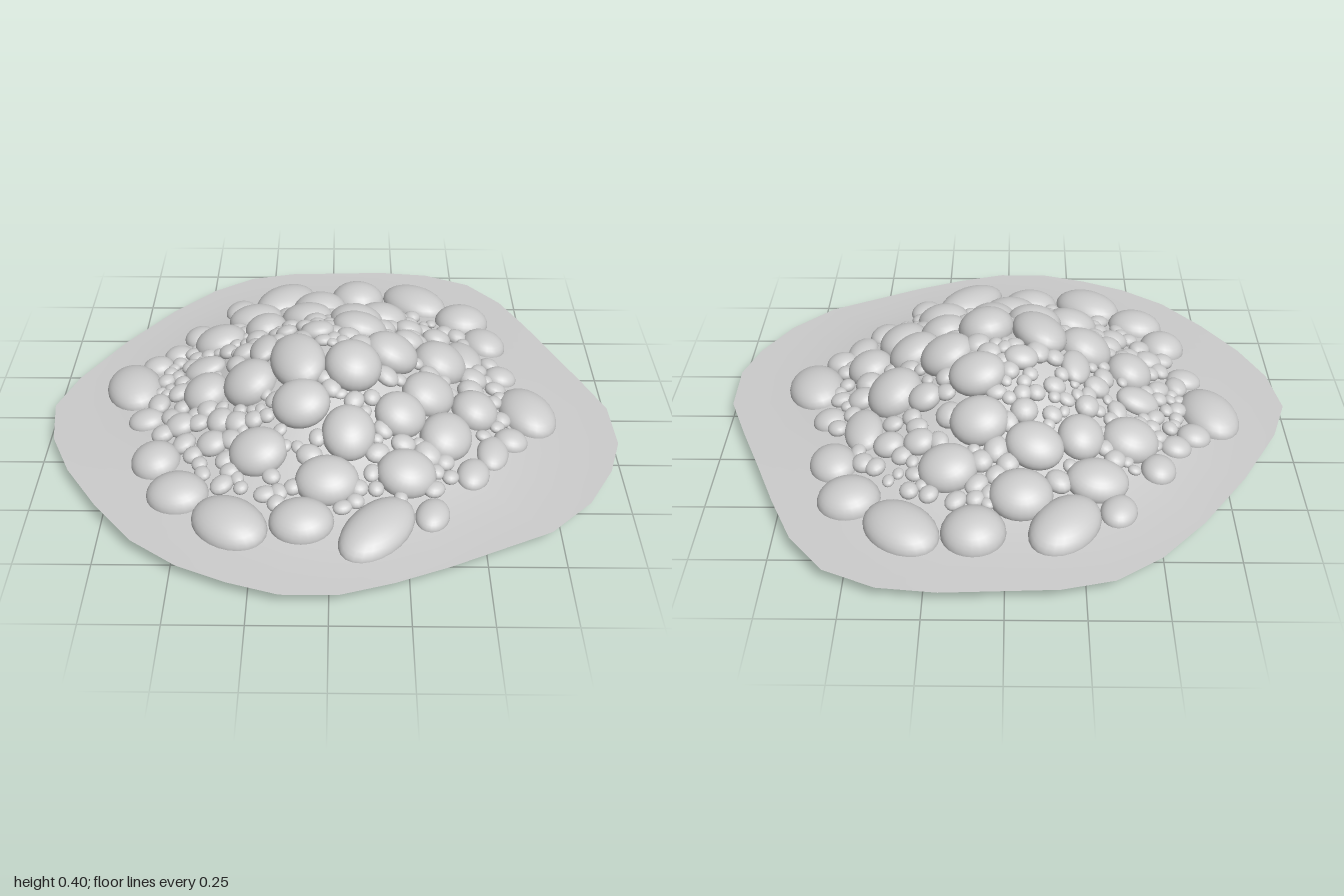
import * as THREE from 'three';
import { mergeVertices } from 'three/addons/utils/BufferGeometryUtils.js';

// Rim of the ground sheet, as [x, z]
const OUTLINE = [
  [-1, 0], [-0.94, -0.17], [-0.8, -0.41], [-0.64, -0.63], [-0.49, -0.79], [-0.34, -0.89],
  [-0.17, -0.93], [0.2, -0.945], [0.39, -0.925], [0.56, -0.85], [0.68, -0.71], [0.765, -0.535],
  [0.845, -0.35], [0.925, -0.17], [0.995, 0], [1, 0.2], [0.95, 0.35], [0.855, 0.51],
  [0.71, 0.65], [0.375, 0.81], [0.2, 0.88], [0.03, 0.93], [-0.15, 0.93], [-0.315, 0.88],
  [-0.475, 0.81], [-0.63, 0.7], [-0.77, 0.535], [-0.89, 0.36], [-0.97, 0.19],
];

// Stones as [x, z, long radius, short radius, turn in degrees]
const RIM = [
  [-0.19, -0.67, 0.14, 0.1, 50], [0.1, -0.7, 0.105, 0.1, 0], [0.33, -0.68, 0.14, 0.1, -40],
  [0.51, -0.54, 0.105, 0.095, 0], [0.58, -0.37, 0.09, 0.08, -60], [0.49, -0.23, 0.1, 0.07, -80],
  [0.62, -0.14, 0.06, 0.055, 0], [0.695, 0.065, 0.13, 0.1, -70], [0.62, 0.225, 0.06, 0.055, 0],
  [0.55, 0.3, 0.08, 0.055, 80], [0.475, 0.41, 0.07, 0.055, 70], [0.33, 0.6, 0.07, 0.055, 70],
  [0.15, 0.67, 0.155, 0.095, 50], [-0.09, 0.64, 0.105, 0.09, 0], [-0.32, 0.64, 0.135, 0.1, -35],
  [-0.5, 0.5, 0.105, 0.09, -10], [-0.59, 0.34, 0.085, 0.085, 0], [-0.65, 0.12, 0.065, 0.055, 0],
  [-0.72, -0.08, 0.135, 0.1, -70], [-0.65, -0.21, 0.06, 0.055, 0], [-0.58, -0.28, 0.055, 0.05, 0],
  [-0.51, -0.4, 0.065, 0.06, 80], [-0.365, -0.6, 0.07, 0.06, 70],
];
const SLOPE = [
  [-0.3, -0.49, 0.105, 0.085, 0], [-0.05, -0.565, 0.105, 0.095, 0], [0.19, -0.46, 0.1, 0.09, 0],
  [-0.42, -0.3, 0.1, 0.09, 0], [-0.25, -0.335, 0.085, 0.08, 90], [-0.46, -0.1, 0.08, 0.06, 0],
  [-0.44, 0.06, 0.085, 0.085, 0], [-0.52, 0.19, 0.055, 0.05, 0], [-0.28, 0.1, 0.1, 0.095, 0],
  [-0.24, 0.38, 0.1, 0.09, 0], [-0.4, 0.31, 0.055, 0.05, 0], [-0.01, 0.5, 0.105, 0.09, 0],
  [0.06, 0.34, 0.1, 0.09, 90], [0.235, 0.245, 0.09, 0.085, 0], [0.25, 0.455, 0.1, 0.09, 0],
  [0.39, 0.28, 0.1, 0.09, 60], [0.5, 0.12, 0.085, 0.085, 0], [0.39, -0.1, 0.105, 0.1, 60],
  [0.335, 0.12, 0.1, 0.09, 30], [0.51, -0.07, 0.055, 0.05, 0], [0.395, -0.33, 0.055, 0.05, 0],
];
const CROWN = [
  [-0.095, -0.395, 0.1, 0.085, -20], [0.09, -0.315, 0.1, 0.09, 0], [0.1, -0.15, 0.1, 0.085, 0],
  [0.21, -0.015, 0.1, 0.09, 0], [0.075, 0.11, 0.1, 0.1, 0], [-0.115, 0.08, 0.125, 0.095, -70],
  [-0.1, 0.245, 0.1, 0.09, 0], [-0.24, -0.06, 0.08, 0.055, -90], [-0.05, -0.09, 0.06, 0.05, 0],
  [0.28, -0.18, 0.06, 0.055, 0], [0.29, -0.35, 0.055, 0.05, 0],
];

// Bell-shaped mound
const EDGE = 0.075, RISE = 0.27, SPREAD = 0.43;
const height = (x, z) => EDGE + RISE * Math.exp(-(x * x + z * z) / SPREAD ** 2);

function slopeNormal(x, z) {
  const k = (2 * RISE / SPREAD ** 2) * Math.exp(-(x * x + z * z) / SPREAD ** 2);
  return new THREE.Vector3(k * x, 1, k * z).normalize();
}

function seededRandom(seed) {
  return () => (seed = (seed * 16807) % 2147483647) / 2147483647;
}

// Sheet: a grid wrapped round the centre, out to the outline
function moundSheet() {
  const n = OUTLINE.length, rings = 18;
  const geo = new THREE.PlaneGeometry(1, 1, n, rings);
  const pos = geo.attributes.position, uv = geo.attributes.uv;
  for (let i = 0; i < pos.count; i++) {
    const [ox, oz] = OUTLINE[Math.round(uv.getX(i) * n) % n];
    const x = ox * uv.getY(i), z = oz * uv.getY(i);
    pos.setXYZ(i, x, height(x, z), z);
  }
  geo.deleteAttribute('uv');
  geo.deleteAttribute('normal');
  const merged = mergeVertices(geo, 1e-5);
  merged.computeVertexNormals();
  return merged;
}

export function createModel() {
  const model = new THREE.Group();
  const stoneMat = new THREE.MeshStandardMaterial({ color: 0xcccccc });
  const sheetMat = new THREE.MeshStandardMaterial({ color: 0xcccccc, side: THREE.DoubleSide });

  const sheet = new THREE.Mesh(moundSheet(), sheetMat);
  sheet.name = 'groundSheet';
  model.add(sheet);

  // A stone is a flattened ball lying on the slope
  const bigBall = new THREE.SphereGeometry(1, 24, 16);
  const smallBall = new THREE.SphereGeometry(1, 14, 10);
  const up = new THREE.Vector3(0, 1, 0);
  function addStone(parent, ball, name, [x, z, long, short, turn], lift) {
    const stone = new THREE.Mesh(ball, stoneMat);
    stone.name = name;
    stone.scale.set(long, short * (0.45 + 0.3 * short / long), short);
    stone.position.set(x, height(x, z) + lift, z);
    stone.quaternion.setFromUnitVectors(up, slopeNormal(x, z));
    stone.rotateY(THREE.MathUtils.degToRad(turn));
    parent.add(stone);
  }

  // Large stones in three bands, seated higher towards the top
  const bands = { rimStones: [RIM, 0], slopeStones: [SLOPE, 0.012], crownStones: [CROWN, 0.018] };
  for (const [name, [list, lift]] of Object.entries(bands)) {
    const band = new THREE.Group();
    band.name = name;
    list.forEach((s) => addStone(band, bigBall, 'stone', s, lift));
    model.add(band);
  }

  // Pebbles filling the gaps between the large stones
  const pebbles = new THREE.Group();
  pebbles.name = 'pebbles';
  const rand = seededRandom(4711);
  const placed = [...RIM, ...SLOPE, ...CROWN];
  for (let tries = 0; tries < 4000 && pebbles.children.length < 170; tries++) {
    const r = 0.62 * Math.sqrt(rand()), a = rand() * Math.PI * 2;
    const x = r * Math.cos(a), z = r * Math.sin(a);
    const long = 0.022 + 0.03 * rand();
    const blocked = placed.some(([sx, sz, l, s]) =>
      Math.hypot(x - sx, z - sz) < 0.42 * (l + s) + 0.45 * long);
    if (blocked) continue;
    const pebble = [x, z, long, long * (0.8 + 0.2 * rand()), rand() * 180];
    placed.push(pebble);
    addStone(pebbles, smallBall, 'pebble', pebble, 0.012);
  }
  model.add(pebbles);
  return model;
}
